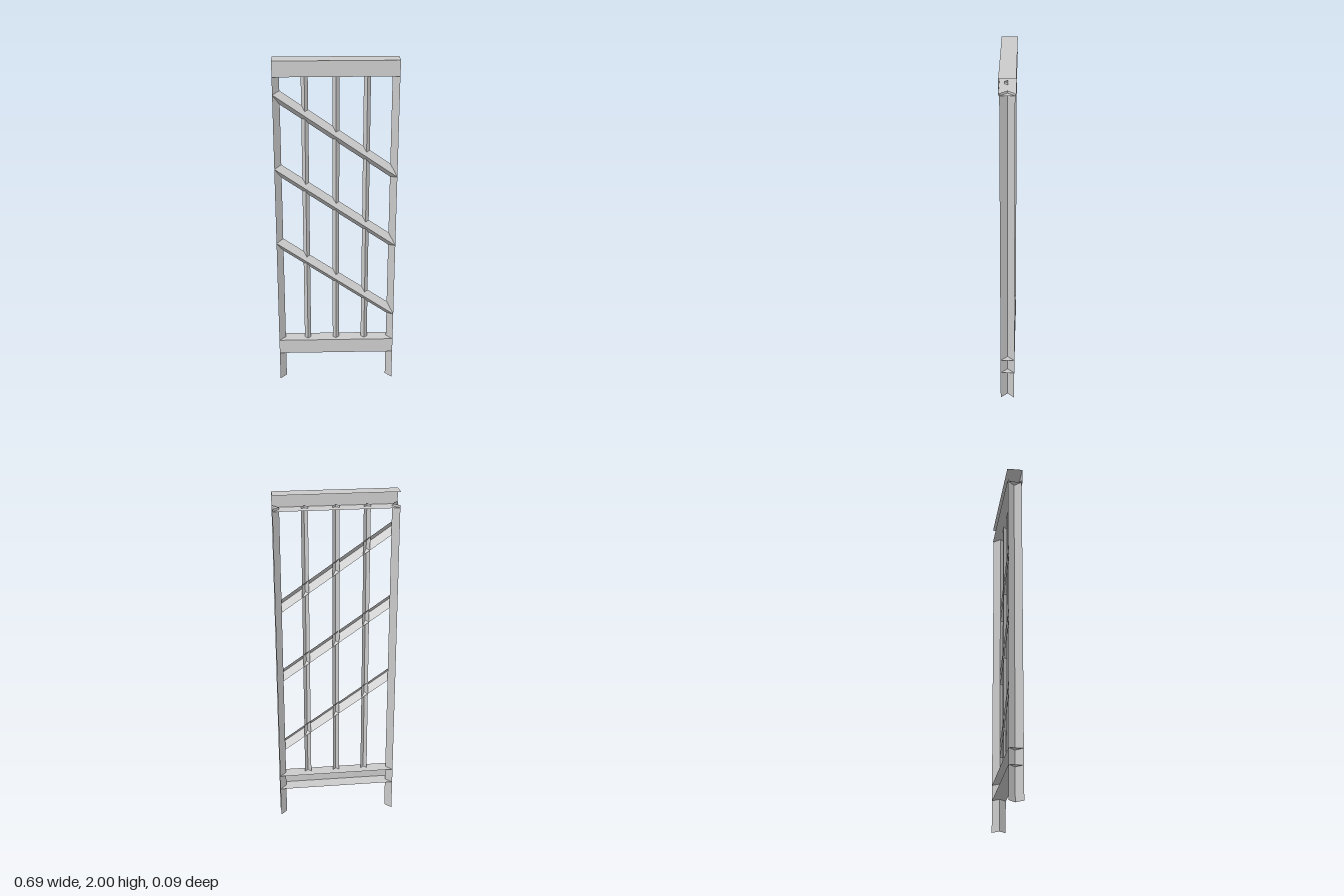
import * as THREE from 'three';

const material = new THREE.MeshStandardMaterial({ color: 0xcccccc, flatShading: true, side: THREE.DoubleSide });

// Thin folded sheet stretched between two matching open cross-sections
function foldedSheet(name, start, end) {
  const pos = [];
  for (let i = 0; i < start.length - 1; i++) {
    const [a, b, c, d] = [start[i], start[i + 1], end[i + 1], end[i]];
    pos.push(...a, ...b, ...c, ...a, ...c, ...d);
  }
  const geo = new THREE.BufferGeometry();
  geo.setAttribute('position', new THREE.Float32BufferAttribute(pos, 3));
  geo.computeVertexNormals();
  const mesh = new THREE.Mesh(geo, material);
  mesh.name = name;
  return mesh;
}

// Upright sheet: an [x, z] section extruded from y0 to y1
const upright = (name, section, y0, y1) =>
  foldedSheet(name, section.map(([x, z]) => [x, y0, z]), section.map(([x, z]) => [x, y1, z]));

// Horizontal channel, open at the back
function channel(name, halfWidth, y0, y1, depth) {
  const section = [[y1, -depth], [y1, depth], [y0, depth], [y0, -depth]];
  return foldedSheet(name,
    section.map(([y, z]) => [-halfWidth, y, z]),
    section.map(([y, z]) => [halfWidth, y, z]));
}

export function createModel() {
  const group = new THREE.Group();
  group.name = 'latticePanel';

  const outer = 0.343, inner = 0.305, fold = 0.04;

  // Side posts: angle sections with the fold pointing inward
  for (const [name, s] of [['leftPost', 1], ['rightPost', -1]]) {
    group.add(upright(name, [[s * outer, fold], [s * inner, 0], [s * outer, -fold]], 0, 1.925));
  }

  // Top and bottom rails
  group.add(channel('topRail', outer, 1.912, 2, 0.045));
  group.add(channel('bottomRail', outer, 0.185, 0.275, fold));

  // Slim vertical bars, fold to the front, ends poking through the rails
  for (const x of [-0.17, 0, 0.17]) {
    group.add(upright('verticalBar', [[x - 0.019, 0], [x, 0.019], [x + 0.019, 0]], 0.262, 1.925));
  }

  // Sloping slats, fold to the front, ends mitred against the posts
  const slope = -0.7, half = 0.039;
  for (const y of [1.573, 1.146, 0.688]) {
    const section = (s) => [
      [s * inner, y + slope * s * inner + half, 0],
      [s * outer, y + slope * s * outer, fold],
      [s * inner, y + slope * s * inner - half, 0],
    ];
    group.add(foldedSheet('slopingSlat', section(-1), section(1)));
  }

  return group;
}
